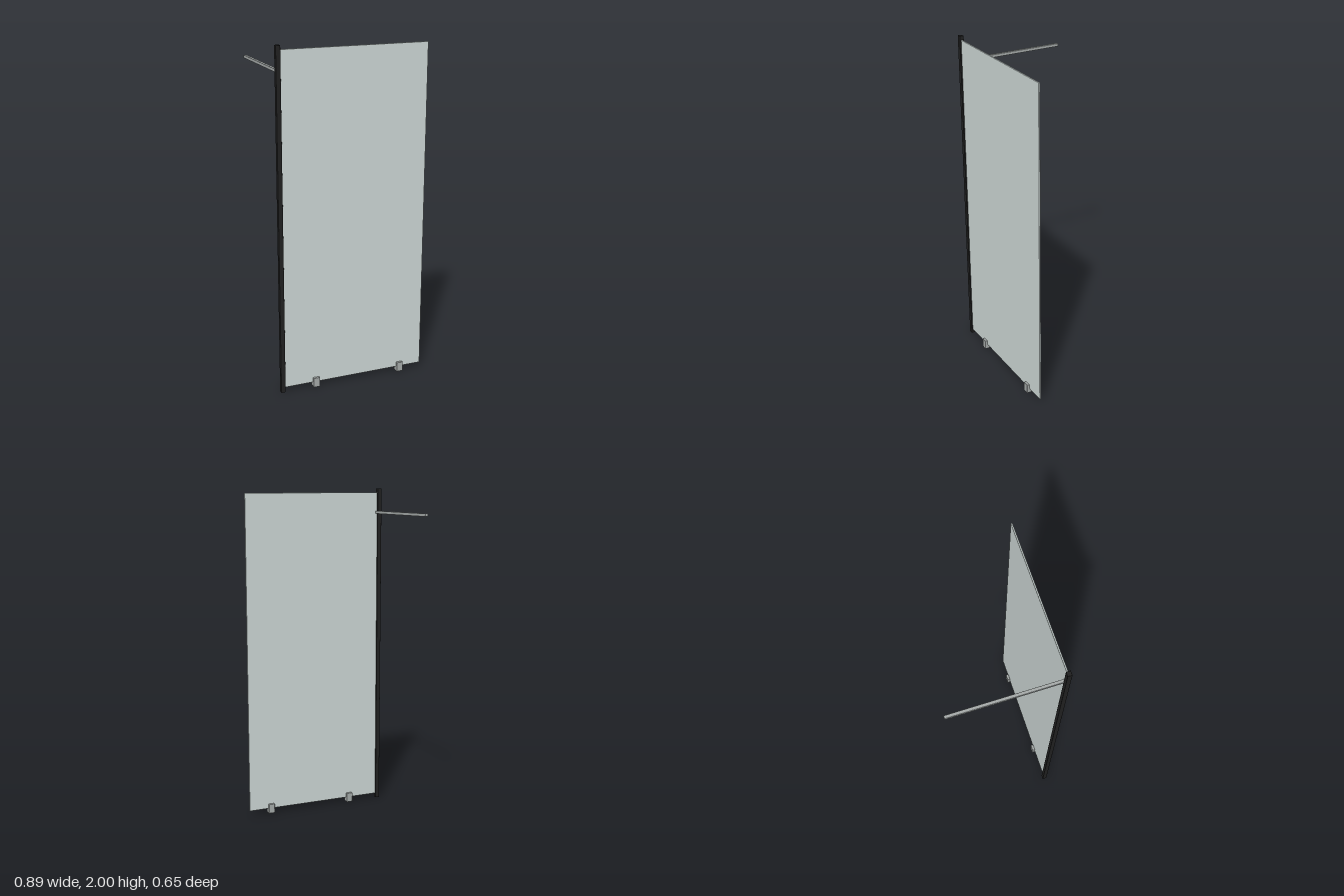
import * as THREE from 'three';
import { RoundedBoxGeometry } from 'three/addons/geometries/RoundedBoxGeometry.js';

const material = (name, color) => {
  const m = new THREE.MeshStandardMaterial({ color });
  m.name = name;
  return m;
};

export function createModel() {
  const group = new THREE.Group();
  group.name = 'showerScreen';

  const glass = material('paleGlass', 0xcbd5d3);
  const metal = material('greyMetal', 0xa4a9a8);
  const black = material('blackFrame', 0x202020);

  // Softly edged box given by its lower and upper limits on each axis
  const box = (name, mat, [x0, x1], [y0, y1], [z0, z1], radius, parent = group) => {
    const geometry = new RoundedBoxGeometry(x1 - x0, y1 - y0, z1 - z0, 2, radius);
    const mesh = new THREE.Mesh(geometry, mat);
    mesh.position.set((x0 + x1) / 2, (y0 + y1) / 2, (z0 + z1) / 2);
    mesh.name = name;
    parent.add(mesh);
  };

  // Upright wall profile and the pane beside it
  box('wallProfile', black, [-0.447, -0.421], [0, 2], [0.292, 0.317], 0.001);
  box('glassPane', glass, [-0.422, 0.447], [0.027, 1.977], [0.3, 0.309], 0.002);

  // Support bar running back from the pane
  box('supportBar', metal, [-0.425, -0.408], [1.847, 1.864], [-0.33, 0.3], 0.001);

  // Floor clamps: a base with a cheek on each side of the glass
  for (const x of [-0.23, 0.307]) {
    const clamp = new THREE.Group();
    clamp.name = 'floorClamp';
    const width = [x - 0.019, x + 0.019];
    box('clampBase', metal, width, [0, 0.03], [0.283, 0.325], 0.002, clamp);
    box('clampBackCheek', metal, width, [0.024, 0.058], [0.283, 0.3], 0.002, clamp);
    box('clampFrontCheek', metal, width, [0.024, 0.058], [0.309, 0.325], 0.002, clamp);
    group.add(clamp);
  }

  return group;
}
